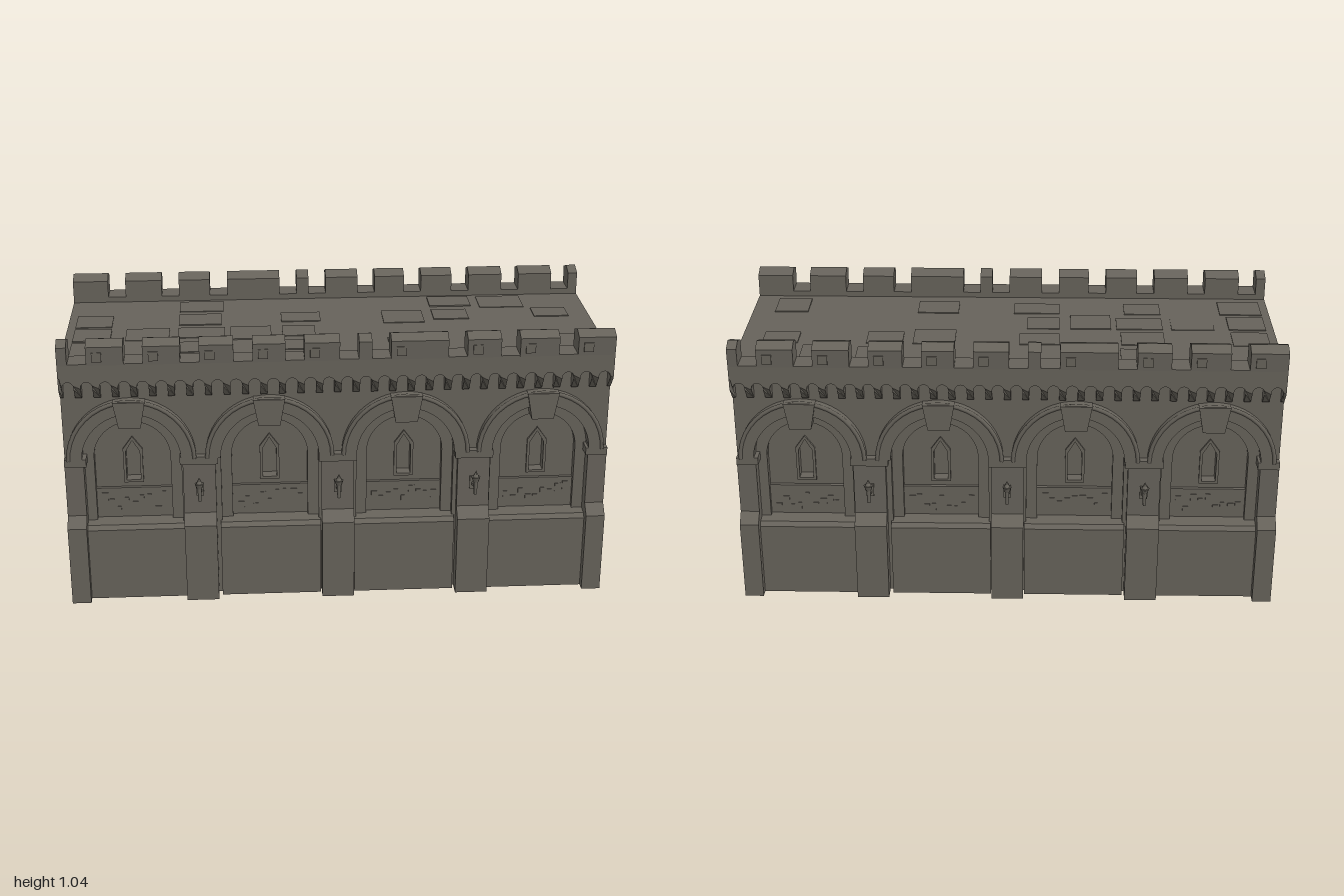
import * as THREE from 'three';

const stone = new THREE.MeshStandardMaterial({ color: 0x66625a });
stone.name = 'grey stone';

const bays = [-0.755, -0.25, 0.25, 0.75];
const piers = [[-1, -0.93], [-0.57, -0.45], [-0.06, 0.06], [0.445, 0.565], [0.93, 1]];
const crenels = [-0.93, -0.73, -0.53, -0.34, -0.155, 0.04, 0.155, 0.43, 0.62, 0.83];

let seed = 7;
const rnd = () => (seed = (seed * 16807) % 2147483647) / 2147483647;

function add(parent, name, geometry) {
  const m = new THREE.Mesh(geometry, stone);
  m.name = name;
  parent.add(m);
  return m;
}

function box(parent, name, x0, x1, y0, y1, z0, z1) {
  const g = new THREE.BoxGeometry(x1 - x0, y1 - y0, z1 - z0);
  return add(parent, name, g.translate((x0 + x1) / 2, (y0 + y1) / 2, (z0 + z1) / 2));
}

const poly = pts => new THREE.Shape(pts.map(p => new THREE.Vector2(p[0], p[1])));

// Extrudes an x-y outline from z0 to z1
function slab(shape, z0, z1) {
  return new THREE.ExtrudeGeometry(shape, { depth: z1 - z0, bevelEnabled: false, curveSegments: 16 }).translate(0, 0, z0);
}

// Extrudes a z-y profile along x
function run(pts, x0, x1) {
  const g = new THREE.ExtrudeGeometry(poly(pts), { depth: x1 - x0, bevelEnabled: false });
  return g.rotateY(-Math.PI / 2).translate(x1, 0, 0);
}

// Round-headed opening
function archHole(cx, r, y0, spring) {
  const p = new THREE.Path();
  p.moveTo(cx - r, y0);
  p.lineTo(cx + r, y0);
  p.lineTo(cx + r, spring);
  p.absarc(cx, spring, r, 0, Math.PI, false);
  p.closePath();
  return p;
}

// Pointed slit opening
const slitHole = (cx, w, y0, y1) =>
  new THREE.Path([[-w, y0], [w, y0], [w, y1 - 0.045], [0, y1], [-w, y1 - 0.045]].map(p => new THREE.Vector2(cx + p[0], p[1])));

function wallLayer(side, name, z0, z1, hole) {
  const s = poly([[-1, 0], [1, 0], [1, 0.93], [-1, 0.93]]);
  bays.forEach(cx => s.holes.push(hole(cx)));
  add(side, name, slab(s, z0, z1));
}

function addCorbelTable(side) {
  const n = 30, pitch = 2 / n, r = 0.021;
  const s = new THREE.Shape();
  s.moveTo(-1, 0.925);
  s.lineTo(-1, 0.86);
  s.lineTo(-1, 0.812);
  for (let i = 0; i < n; i++) {
    const c = -1 + (i + 0.5) * pitch;
    s.lineTo(c - r, 0.812);
    s.lineTo(c - r, 0.86);
    s.absarc(c, 0.865, r, Math.PI, 0, true);
    s.lineTo(c + r, 0.86);
    s.lineTo(c + r, 0.812);
  }
  s.lineTo(1, 0.812);
  s.lineTo(1, 0.86);
  s.lineTo(1, 0.925);
  const g = slab(s, 0.3, 0.408);
  // Taper the feet of the corbels back to the wall
  const p = g.attributes.position;
  for (let i = 0; i < p.count; i++) {
    if (p.getZ(i) > 0.4) p.setZ(i, 0.37 + 0.038 * Math.min(1, (p.getY(i) - 0.812) / 0.048));
  }
  g.computeVertexNormals();
  add(side, 'corbelTable', g);
}

function addTorch(side, x) {
  const torch = new THREE.Group();
  torch.name = 'torch';
  torch.position.set(x, 0, 0);
  side.add(torch);
  box(torch, 'torchPlate', -0.014, 0.014, 0.42, 0.47, 0.38, 0.391);
  const arm = add(torch, 'torchArm', new THREE.CylinderGeometry(0.007, 0.009, 0.065, 6));
  arm.position.set(0, 0.448, 0.415);
  arm.rotation.x = Math.PI / 2 - 0.25;
  add(torch, 'torchHandle', new THREE.CylinderGeometry(0.009, 0.006, 0.065, 6).translate(0, 0.455, 0.444));
  add(torch, 'torchCup', new THREE.CylinderGeometry(0.017, 0.01, 0.02, 8).translate(0, 0.485, 0.446));
  add(torch, 'torchFlame', new THREE.ConeGeometry(0.015, 0.03, 6).translate(0, 0.505, 0.447));
}

function addBay(side, cx) {
  // Lower panel with sloping sill
  add(side, 'lowerPanel', run([[0.27, 0], [0.39, 0], [0.39, 0.285], [0.375, 0.3], [0.27, 0.312]], cx - 0.187, cx + 0.187));
  // Rough band under the window
  box(side, 'roughBand', cx - 0.14, cx + 0.14, 0.3, 0.425, 0.3, 0.318);
  for (let i = 0; i < 9; i++) {
    const x = cx - 0.12 + i * 0.028, y = 0.32 + rnd() * 0.06;
    box(side, 'brokenStone', x, x + 0.012 + rnd() * 0.012, y, y + 0.015 + rnd() * 0.02, 0.31, 0.322);
  }
  // Arch moulding
  const ring = new THREE.Shape();
  ring.absarc(cx, 0.57, 0.235, 0, Math.PI, false);
  ring.absarc(cx, 0.57, 0.18, Math.PI, 0, true);
  const g = slab(ring, 0.33, 0.39);
  add(side, 'archRing', g);
  const lip = new THREE.TorusGeometry(0.229, 0.008, 5, 20, Math.PI).translate(cx, 0.57, 0.388);
  add(side, 'archLip', lip);
  add(side, 'keystone', slab(poly([[cx - 0.04, 0.7], [cx + 0.04, 0.7], [cx + 0.058, 0.8], [cx - 0.058, 0.8]]), 0.33, 0.402));
  // Window surround
  const frame = poly([[cx - 0.036, 0.445], [cx + 0.036, 0.445], [cx + 0.036, 0.58], [cx, 0.63], [cx - 0.036, 0.58]]);
  frame.holes.push(slitHole(cx, 0.026, 0.455, 0.615));
  add(side, 'windowFrame', slab(frame, 0.3, 0.314));
}

function addParapet(side) {
  box(side, 'parapetBase', -1, 1, 0.9, 0.955, 0.32, 0.41);
  const profile = [[0.32, 0.95], [0.41, 0.95], [0.414, 1.02], [0.37, 1.038], [0.32, 1.02]];
  const half = 0.034;
  const ends = [-1 - half, ...crenels, 1 + half];
  for (let i = 0; i + 1 < ends.length; i++) {
    const x0 = ends[i] + half, x1 = ends[i + 1] - half;
    add(side, 'merlon', run(profile, x0, x1));
    // Projecting stone on the wider merlons
    if (x1 - x0 > 0.1) box(side, 'merlonStone', x0 + 0.02, x0 + 0.055, 0.965, 1.0, 0.4, 0.417);
  }
}

function makeSide(name) {
  const side = new THREE.Group();
  side.name = name;
  wallLayer(side, 'windowWall', 0.26, 0.305, cx => slitHole(cx, 0.026, 0.455, 0.615));
  wallLayer(side, 'innerArchWall', 0.3, 0.337, cx => archHole(cx, 0.14, 0.3, 0.56));
  wallLayer(side, 'outerWall', 0.33, 0.362, cx => archHole(cx, 0.18, 0.3, 0.57));
  bays.forEach(cx => addBay(side, cx));
  piers.forEach(([a, b]) => {
    add(side, 'pier', run([[0.27, 0], [0.425, 0], [0.425, 0.31], [0.385, 0.347], [0.383, 0.575], [0.27, 0.575]], a, b));
    box(side, 'pierCapital', Math.max(-1, a - 0.01), Math.min(1, b + 0.01), 0.545, 0.575, 0.3, 0.39);
  });
  piers.slice(1, 4).forEach(([a, b]) => addTorch(side, (a + b) / 2));
  addCorbelTable(side);
  addParapet(side);
  return side;
}

export function createModel() {
  const wall = new THREE.Group();
  wall.name = 'castleWall';
  box(wall, 'core', -1, 1, 0, 0.932, -0.27, 0.27);
  box(wall, 'walkway', -1, 1, 0.9, 0.934, -0.33, 0.33);

  // Slightly raised paving stones on the walkway
  for (let i = 0; i < 10; i++) {
    for (let j = 0; j < 4; j++) {
      if (rnd() < 0.5) continue;
      const x = -0.97 + i * 0.195, z = -0.3 + j * 0.15;
      box(wall, 'pavingStone', x, x + 0.12 + rnd() * 0.06, 0.93, 0.936 + rnd() * 0.003, z, z + 0.09 + rnd() * 0.05);
    }
  }

  const front = makeSide('frontSide');
  const back = makeSide('backSide');
  back.rotation.y = Math.PI;
  wall.add(front, back);
  return wall;
}
